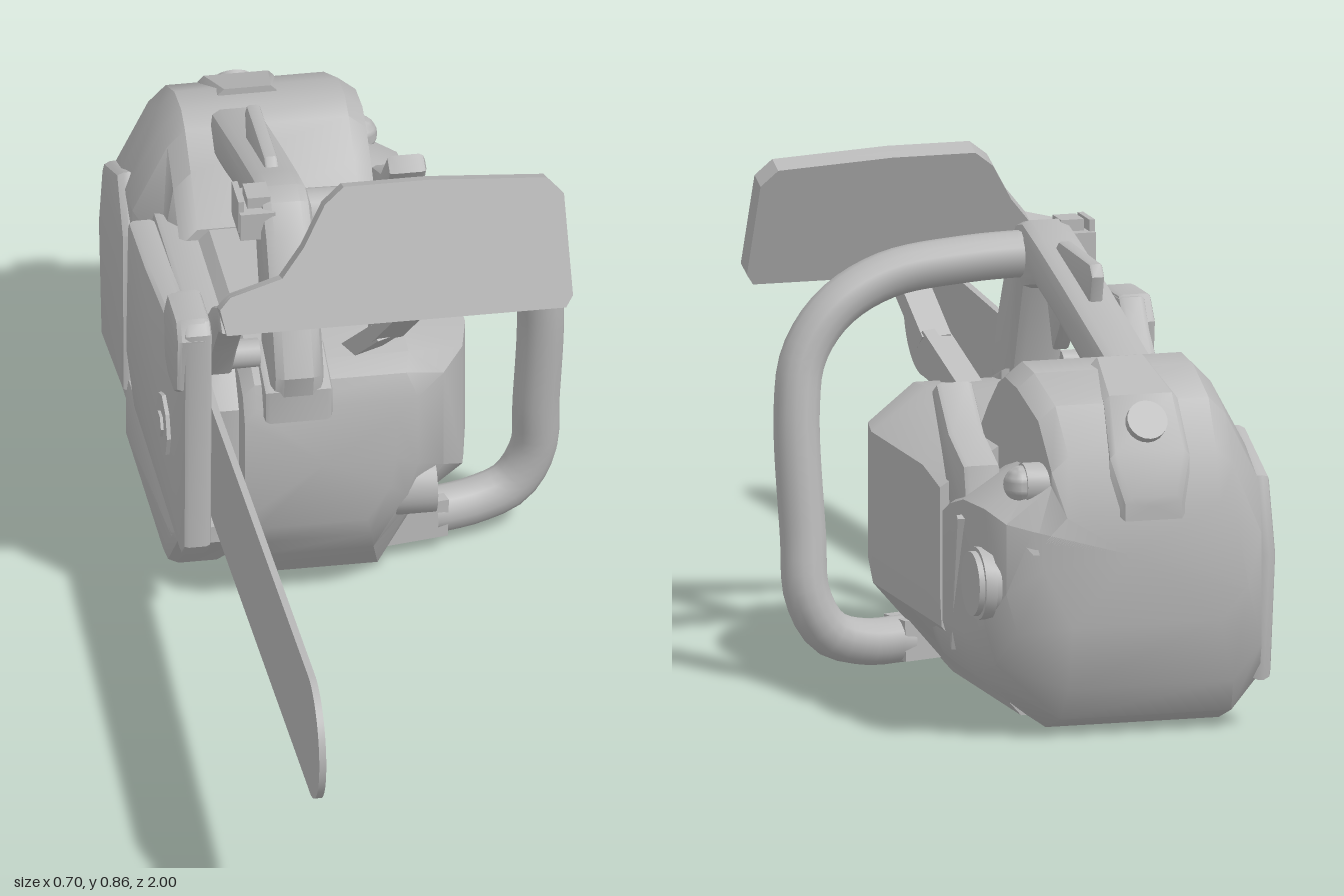
import * as THREE from 'three';
import { toCreasedNormals } from 'three/addons/utils/BufferGeometryUtils.js';

const grey = new THREE.MeshStandardMaterial({ color: 0xb8b8b8 });
grey.name = 'grey';

export function createModel() {
  const group = new THREE.Group();

  const add = (name, geometry, crease = 0.6) => {
    const mesh = new THREE.Mesh(toCreasedNormals(geometry, crease), grey);
    mesh.name = name;
    group.add(mesh);
    return mesh;
  };

  // Closed loft through rings of [x, y] points at falling z
  const loft = (name, rings) => {
    const n = rings[0].pts.length, pos = [], idx = [];
    rings.forEach(r => r.pts.forEach(p => pos.push(p[0], p[1], r.z)));
    for (let i = 0; i < rings.length - 1; i++) {
      for (let j = 0; j < n; j++) {
        const a = i * n + j, b = i * n + (j + 1) % n;
        idx.push(a, a + n, b, b, a + n, b + n);
      }
    }
    for (const end of [0, rings.length - 1]) {
      const { pts, z } = rings[end], c = pos.length / 3;
      pos.push(pts.reduce((s, p) => s + p[0], 0) / n, pts.reduce((s, p) => s + p[1], 0) / n, z);
      for (let j = 0; j < n; j++) {
        const a = end * n + j, b = end * n + (j + 1) % n;
        idx.push(...(end ? [c, b, a] : [c, a, b]));
      }
    }
    const g = new THREE.BufferGeometry();
    g.setAttribute('position', new THREE.Float32BufferAttribute(pos, 3));
    g.setIndex(idx);
    return add(name, g, 0.65);
  };

  // Plate drawn as a [z, y] side profile, filling x0 to x1
  const sidePlate = (name, pts, x0, x1, b = 0.01) => {
    const shape = new THREE.Shape(pts.map(([z, y]) => new THREE.Vector2(-z, y)));
    const g = new THREE.ExtrudeGeometry(shape, {
      depth: x1 - x0 - 2 * b, bevelEnabled: true, bevelThickness: b,
      bevelSize: b, bevelOffset: -b, bevelSegments: 2
    });
    g.translate(0, 0, x0 + b);
    g.rotateY(Math.PI / 2);
    return add(name, g);
  };

  const disc = (name, r, h, x, y, z, sides = 24) => {
    const g = new THREE.CylinderGeometry(r, r, h, sides);
    g.rotateZ(Math.PI / 2);
    g.translate(x, y, z);
    return add(name, g);
  };

  const box = (name, w, h, d, x, y, z, rx = 0) => {
    const m = add(name, new THREE.BoxGeometry(w, h, d));
    m.position.set(x, y, z);
    m.rotation.x = rx;
    return m;
  };

  // Box stretched between two points
  const strut = (name, a, b, w, t) => {
    const A = new THREE.Vector3(...a), B = new THREE.Vector3(...b);
    const m = add(name, new THREE.BoxGeometry(w, t, A.distanceTo(B)));
    m.position.copy(A).lerp(B, 0.5);
    m.lookAt(B);
  };

  // Engine casing: z, bottom edge x, lower right x, right x, bottom, lower y, upper y, top
  loft('engineCasing', [
    [-0.10, -0.02, 0.02, 0.03, 0.18, 0.24, 0.37, 0.41],
    [-0.12, -0.01, 0.05, 0.07, 0.14, 0.21, 0.40, 0.45],
    [-0.16, 0.00, 0.07, 0.12, 0.09, 0.18, 0.42, 0.468],
    [-0.24, 0.02, 0.09, 0.165, 0.01, 0.13, 0.42, 0.475],
    [-0.32, 0.04, 0.18, 0.183, 0, 0.16, 0.42, 0.478],
    [-0.62, 0.04, 0.18, 0.183, 0, 0.16, 0.42, 0.478],
    [-0.72, 0.04, 0.18, 0.183, 0, 0.16, 0.40, 0.478]
  ].map(([z, xb, xl, xr, yb, y1, y2, yt]) => ({
    z, pts: [[-0.23, yb + 0.02], [-0.21, yb], [xb, yb], [xl, y1], [xr, y1 + 0.06],
      [xr, y2], [Math.min(xr - 0.02, 0.06), yt], [-0.21, yt], [-0.23, yt - 0.02]]
  })));

  // Rear housing: z, left x, right x, upper right x, bottom, right shoulder y, top
  loft('rearHousing', [
    [-0.59, -0.24, 0.17, 0.08, 0.01, 0.36, 0.48],
    [-0.66, -0.28, 0.178, 0.08, 0.003, 0.35, 0.55],
    [-0.72, -0.32, 0.178, 0.08, 0, 0.36, 0.60],
    [-0.76, -0.325, 0.178, 0.08, 0, 0.38, 0.617],
    [-0.83, -0.325, 0.175, 0.08, 0, 0.40, 0.61],
    [-0.92, -0.32, 0.165, 0.07, 0.03, 0.40, 0.57],
    [-0.965, -0.31, 0.14, 0.06, 0.09, 0.38, 0.49],
    [-0.99, -0.28, 0.10, 0.04, 0.20, 0.33, 0.40]
  ].map(([z, xl, xr, xt, yb, ys, yt]) => ({
    z, pts: [[xl, yb + 0.06], [xl + 0.05, yb], [0.03, yb], [xr - 0.02, yb + 0.1], [xr, yb + 0.17],
      [xr, ys], [xt, ys + 0.06], [xt, yt - 0.025], [xt - 0.03, yt], [-0.23, yt],
      [-0.26, yt - 0.03], [xl, yt - 0.15]]
  })));

  // Raised seam on the right side
  strut('housingSeam', [0.178, 0.37, -0.83], [0.165, 0.13, -0.75], 0.015, 0.015);

  // Latch panel and knob on the back
  loft('rearLatch', [[-0.80, 0.05, 0.625, 0.58], [-0.92, 0.065, 0.582, 0.5], [-0.975, 0.07, 0.495, 0.4], [-0.998, 0.05, 0.42, 0.38]]
    .map(([z, w, y1, y0]) => ({
      z, pts: [[-0.11 - w, y0], [-0.11 + w, y0], [-0.11 + w, y1 - 0.01], [-0.12 + w, y1], [-0.10 - w, y1], [-0.11 - w, y1 - 0.01]]
    })));
  const latchKnob = add('latchKnob', new THREE.CylinderGeometry(0.035, 0.035, 0.04, 20));
  latchKnob.position.set(-0.11, 0.535, -0.945);
  latchKnob.rotation.x = -1.0;

  // Guide bar with a rounded nose
  const bar = new THREE.Shape();
  bar.moveTo(0.4, 0.19);
  bar.lineTo(0.1, 0.2);
  bar.lineTo(-0.88, 0.26);
  bar.absarc(-0.89, 0.37, 0.11, -Math.PI / 2, Math.PI / 2, true);
  bar.lineTo(0.1, 0.415);
  bar.lineTo(0.4, 0.42);
  const barGeo = new THREE.ExtrudeGeometry(bar, { depth: 0.012, bevelEnabled: false, curveSegments: 20 });
  barGeo.translate(0, 0, -0.284);
  barGeo.rotateY(Math.PI / 2);
  add('guideBar', barGeo);

  // Left side: bar mount, clutch cover, chain base and filter panel
  sidePlate('barMount', [[-0.16, 0.21], [-0.16, 0.38], [-0.22, 0.46], [-0.70, 0.46], [-0.70, 0.06], [-0.3, 0.06]], -0.29, -0.22);
  sidePlate('clutchCover', [[-0.09, 0.16], [-0.08, 0.58], [-0.1, 0.6], [-0.2, 0.6], [-0.23, 0.55], [-0.28, 0.5],
    [-0.5, 0.47], [-0.67, 0.46], [-0.69, 0.2], [-0.6, 0.13], [-0.12, 0.13]], -0.337, -0.288);
  sidePlate('coverBoss', [[-0.09, 0.47], [-0.08, 0.57], [-0.1, 0.603], [-0.19, 0.603], [-0.22, 0.56], [-0.21, 0.47], [-0.17, 0.45], [-0.12, 0.45]], -0.35, -0.29);
  sidePlate('chainBase', [[-0.2, 0.10], [-0.2, 0.13], [-0.72, 0.13], [-0.72, 0.005], [-0.3, 0.005]], -0.335, -0.22, 0.025);
  sidePlate('filterPanel', [[-0.71, 0.1], [-0.72, 0.4], [-0.78, 0.49], [-0.92, 0.43], [-0.96, 0.3], [-0.93, 0.08]], -0.34, -0.30, 0.015);
  disc('barNut', 0.055, 0.012, -0.338, 0.3, -0.27, 8);
  disc('barNutCentre', 0.022, 0.018, -0.34, 0.3, -0.27, 6);

  // Caps, bulb and starter lever on the right side
  disc('oilCap', 0.055, 0.07, 0.07, 0.2, -0.18);
  disc('fuelCap', 0.055, 0.04, 0.165, 0.27, -0.905);
  disc('fuelCapRim', 0.062, 0.02, 0.165, 0.27, -0.905);
  const bulb = add('primerBulb', new THREE.SphereGeometry(0.032, 20, 14));
  bulb.position.set(0.1, 0.44, -0.925);
  disc('bulbCollar', 0.036, 0.05, 0.075, 0.44, -0.925);
  sidePlate('starterLever', [[-0.61, 0.545], [-0.64, 0.563], [-0.71, 0.49], [-0.8, 0.45], [-0.82, 0.36], [-0.72, 0.36], [-0.67, 0.45]], 0.10, 0.167);

  // Wrap handle
  const wrap = new THREE.CatmullRomCurve3([
    [-0.17, 0.70, -0.26], [0.0, 0.695, -0.26], [0.14, 0.675, -0.26], [0.235, 0.625, -0.27],
    [0.29, 0.55, -0.28], [0.307, 0.46, -0.295], [0.305, 0.25, -0.325], [0.302, 0.15, -0.34],
    [0.265, 0.085, -0.34], [0.20, 0.062, -0.33], [0.12, 0.06, -0.31]
  ].map(p => new THREE.Vector3(...p)));
  add('wrapHandle', new THREE.TubeGeometry(wrap, 48, 0.04, 14), 1);
  strut('wrapHandleMount', [0.14, 0.062, -0.315], [0.02, 0.065, -0.29], 0.075, 0.07);

  // Top handle with its front foot
  sidePlate('topHandle', [[-0.1, 0.4], [-0.08, 0.48], [-0.12, 0.58], [-0.18, 0.7], [-0.22, 0.745], [-0.26, 0.755],
    [-0.34, 0.735], [-0.5, 0.69], [-0.65, 0.645], [-0.8, 0.6], [-0.8, 0.52], [-0.62, 0.57], [-0.45, 0.625],
    [-0.34, 0.655], [-0.27, 0.64], [-0.22, 0.5], [-0.2, 0.42]], -0.185, -0.095, 0.02);
  sidePlate('handleFoot', [[-0.09, 0.39], [-0.09, 0.45], [-0.2, 0.49], [-0.2, 0.39]], -0.198, -0.08);
  sidePlate('trigger', [[-0.31, 0.66], [-0.355, 0.55], [-0.39, 0.59], [-0.43, 0.65]], -0.155, -0.125, 0.005);
  sidePlate('triggerLock', [[-0.34, 0.71], [-0.38, 0.74], [-0.56, 0.735], [-0.575, 0.715], [-0.56, 0.66]], -0.152, -0.128, 0.005);
  box('switchBase', 0.06, 0.05, 0.09, -0.19, 0.71, -0.25);
  box('stopSwitch', 0.04, 0.02, 0.05, -0.185, 0.745, -0.25);
  box('switchFin', 0.01, 0.06, 0.07, -0.217, 0.725, -0.25);

  // Hand guard: leaning plate with a rim behind it
  const guard = new THREE.Group();
  guard.name = 'handGuard';
  guard.position.set(0, 0.622, -0.017);
  guard.rotation.x = -0.37;
  group.add(guard);
  const outline = [[-0.28, 0.0], [-0.289, 0.045], [-0.27, 0.065], [-0.18, 0.09], [-0.14, 0.14], [-0.1, 0.21],
    [-0.066, 0.238], [0.08, 0.238], [0.28, 0.225], [0.308, 0.195], [0.313, 0.02], [0.3, 0]];
  const cavity = [[-0.12, 0.02], [-0.11, 0.12], [-0.055, 0.215], [0.08, 0.215], [0.265, 0.205], [0.288, 0.18], [0.288, 0.02]];
  const toShape = pts => new THREE.Shape(pts.map(p => new THREE.Vector2(...p)));
  const rim = toShape(outline);
  rim.holes.push(new THREE.Path(cavity.map(p => new THREE.Vector2(...p))));
  [['guardPlate', toShape(outline), 0.02, 0.018], ['guardRim', rim, 0, 0.02]].forEach(([name, shape, z, depth]) => {
    const g = new THREE.ExtrudeGeometry(shape, { depth, bevelEnabled: false });
    g.translate(0, 0, z);
    guard.add(add(name, g));
  });

  // Guard arms running back to the casing
  sidePlate('guardLeftArm', [[0.01, 0.635], [-0.03, 0.665], [-0.1, 0.625], [-0.17, 0.56], [-0.2, 0.48], [-0.15, 0.46], [-0.1, 0.53], [-0.03, 0.615]], -0.288, -0.243, 0.006);
  strut('guardRightArm', [0.035, 0.635, -0.02], [0.015, 0.53, -0.13], 0.055, 0.03);
  strut('guardRightArmFoot', [0.018, 0.54, -0.12], [-0.02, 0.46, -0.2], 0.055, 0.03);
  disc('guardPivot', 0.025, 0.08, -0.235, 0.485, -0.17, 16);

  return group;
}
